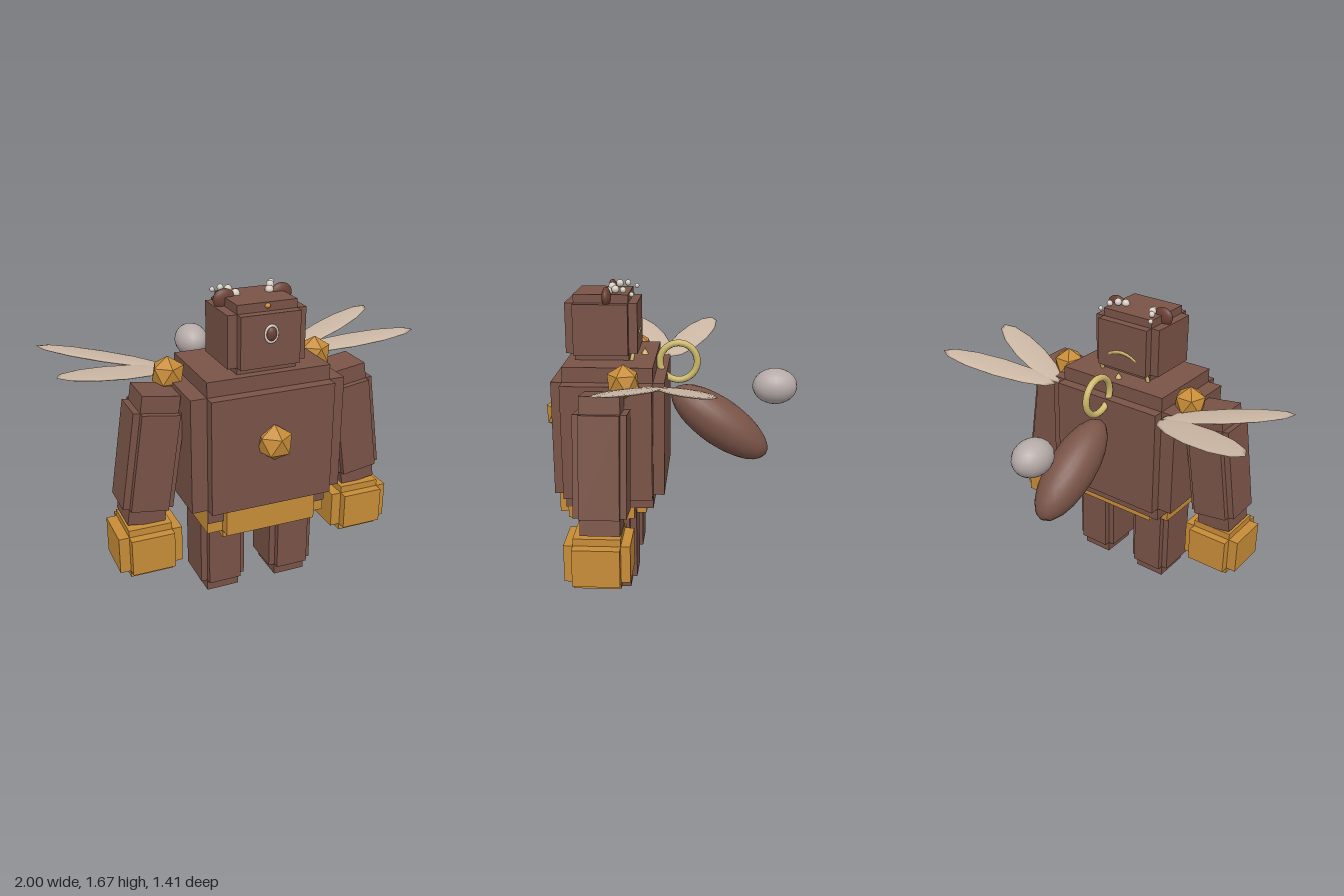
import * as THREE from 'three';

const mat = (name, color) => {
  const m = new THREE.MeshStandardMaterial({ color });
  m.name = name;
  return m;
};

export function createModel() {
  const brown = mat('brown', 0x795347);
  const darkBrown = mat('dark brown', 0x6a4034);
  const orange = mat('orange', 0xc78c38);
  const gold = mat('gold', 0xcdb86a);
  const tan = mat('wing tan', 0xccb7a4);
  const grey = mat('warm grey', 0xb5aaa8);
  const ivory = mat('ivory', 0xd8cfc4);
  // the gems are flat shaded through non-indexed facets
  const root = new THREE.Group();
  root.name = 'model';

  const add = (name, geo, material, pos, parent = root) => {
    const m = new THREE.Mesh(geo, material);
    m.name = name;
    m.position.set(...pos);
    parent.add(m);
    return m;
  };

  // Stepped block: three crossed boxes, each full length along one axis only
  const block = (name, material, size, inset, pos) => {
    const g = new THREE.Group();
    g.name = name;
    g.position.set(...pos);
    for (let axis = 0; axis < 3; axis++) {
      const s = size.map((v, i) => (i === axis ? v : v - 2 * inset[i]));
      add(name + 'Block', new THREE.BoxGeometry(...s), material, [0, 0, 0], g);
    }
    root.add(g);
    return g;
  };

  const ball = (name, material, scale, pos, ws = 20, hs = 14) => {
    const m = add(name, new THREE.SphereGeometry(1, ws, hs), material, pos);
    m.scale.set(...scale);
    return m;
  };

  // Twenty-sided gem standing on a vertex
  const gem = (name, r, pos) => {
    const geo = new THREE.IcosahedronGeometry(r, 0);
    geo.rotateZ(-Math.atan(2 / (1 + Math.sqrt(5))));
    geo.rotateY(-Math.PI / 10);
    return add(name, geo, orange, pos);
  };

  // Torso, belt and head
  block('torso', brown, [0.84, 0.78, 0.595], [0.085, 0.08, 0.06], [0, 0.89, 0.313]);
  block('belt', orange, [0.67, 0.22, 0.48], [0.085, 0.04, 0.06], [0, 0.507, 0.36]);
  block('head', brown, [0.42, 0.36, 0.385], [0.05, 0.045, 0.047], [0, 1.45, 0.36]);
  gem('chestGem', 0.098, [0, 0.935, 0.615]);

  for (const s of [1, -1]) {
    // Limbs
    block('leg', brown, [0.252, 0.53, 0.287], [0.035, 0.065, 0.035], [s * 0.203, 0.265, 0.316]);
    const arm = block('arm', brown, [0.27, 0.704, 0.27], [0.035, 0.09, 0.033], [s * 0.573, 0.843, 0.318]);
    arm.rotation.z = s * 0.15;
    block('hand', orange, [0.34, 0.275, 0.338], [0.055, 0.038, 0.048], [s * 0.615, 0.358, 0.335]);
    gem('shoulderGem', 0.092, [s * 0.42, 1.228, 0.22]);

    // Two thin wings on each side
    for (const t of [1, -1]) {
      const wing = ball('wing', tan, [0.35, 0.012, 0.098], [s * 0.676, 1.246, 0.03 - t * 0.135], 12, 8);
      wing.rotation.order = 'ZYX';
      wing.rotation.set(0, s * t * 0.36, s * 0.19);
    }

    // Ear with a row of beads behind it
    ball('ear', darkBrown, [0.06, 0.052, 0.024], [s * 0.155, 1.617, 0.33]);
    const beads = [
      [0.092, 1.637, 0.325, 0.023],
      [0.115, 1.652, 0.285, 0.021],
      [0.14, 1.652, 0.242, 0.017],
      [0.165, 1.632, 0.195, 0.013],
    ];
    for (const [x, y, z, r] of beads) ball('bead', ivory, [r, r, r], [s * x, y, z], 12, 8);
  }

  // Single eye with a pale rim, and a small brow stud
  ball('eye', darkBrown, [0.029, 0.038, 0.022], [0, 1.485, 0.553]);
  const rim = add('eyeRim', new THREE.TorusGeometry(0.033, 0.006, 8, 24), ivory, [0, 1.485, 0.556]);
  rim.scale.y = 1.25;
  ball('browStud', orange, [0.015, 0.013, 0.015], [0, 1.612, 0.505], 10, 8);

  // Neck ring, mostly sunk in the head, with a small spike
  const neckRing = add('neckRing', new THREE.TorusGeometry(0.158, 0.011, 8, 32), gold, [0, 1.265, 0.203]);
  neckRing.rotation.x = -0.2;
  add('neckSpike', new THREE.ConeGeometry(0.022, 0.045, 8), gold, [0, 1.297, 0.14]);

  // Ring, tail and tail ball behind the back
  const backRing = add('backRing', new THREE.TorusGeometry(0.104, 0.019, 10, 24), gold, [0, 1.24, -0.045]);
  backRing.rotation.y = Math.PI / 2;
  const tail = ball('tail', brown, [0.132, 0.132, 0.324], [0, 0.892, -0.279]);
  tail.rotation.x = -0.62;
  ball('tailBall', grey, [0.1, 0.1, 0.124], [0, 1.106, -0.58]);

  return root;
}
